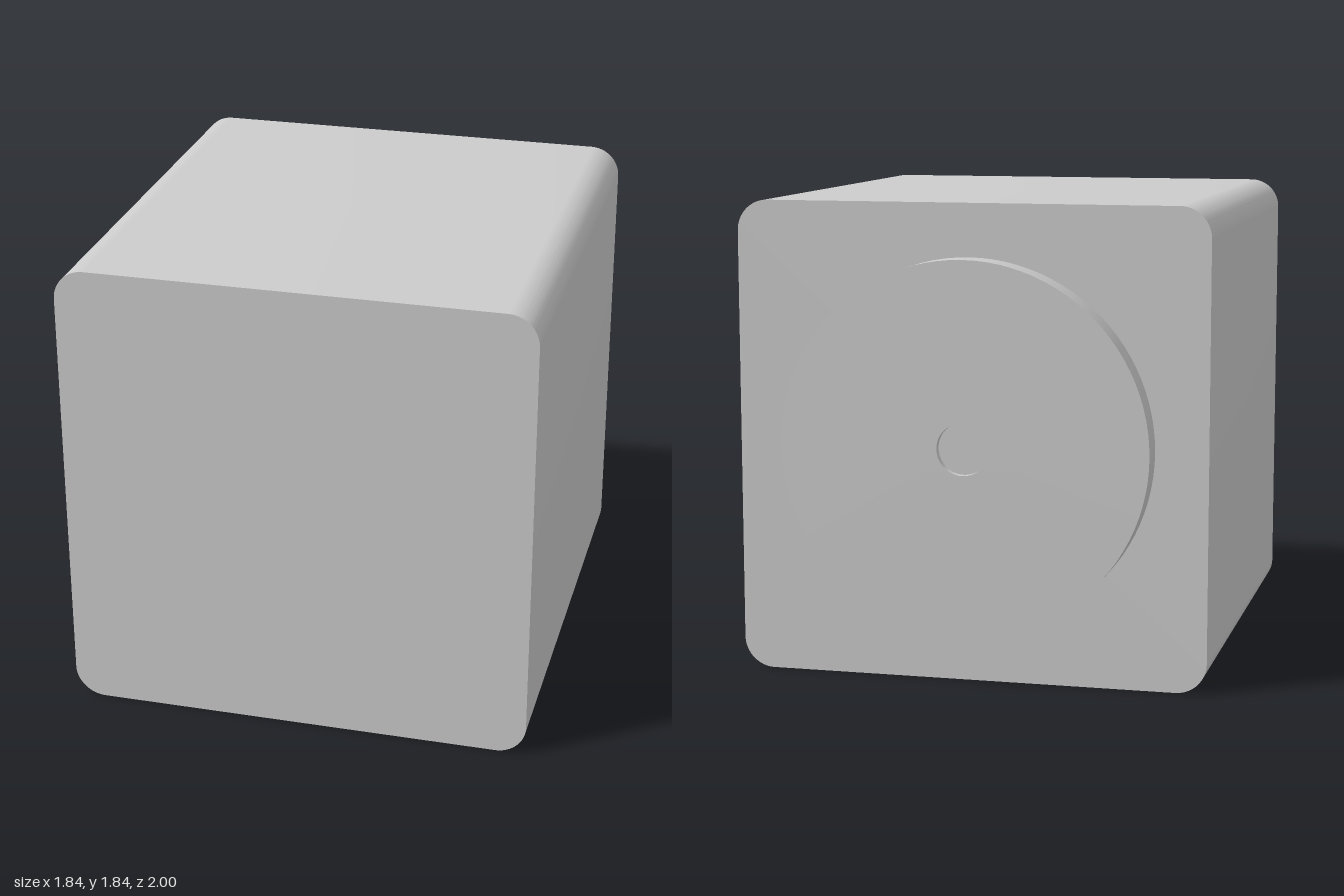
import * as THREE from 'three';
import { toCreasedNormals } from 'three/addons/utils/BufferGeometryUtils.js';

const HALF = 0.922;    // half width and half height of the body
const CORNER = 0.12;   // radius of the four long edges
const BACK = -0.885;   // z of the body's back face
const FRONT = 1;

const material = new THREE.MeshStandardMaterial({ color: 0xcccccc });

function part(name, geometry) {
  const mesh = new THREE.Mesh(toCreasedNormals(geometry, Math.PI / 6), material);
  mesh.name = name;
  return mesh;
}

// Square with four rounded corners, centred on the origin
function roundedSquare(half, r) {
  const shape = new THREE.Shape();
  const c = half - r;
  [[c, c], [-c, c], [-c, -c], [c, -c]].forEach(([x, y], i) => {
    shape.absarc(x, y, r, i * Math.PI / 2, (i + 1) * Math.PI / 2, false);
  });
  shape.closePath();
  return shape;
}

export function createModel() {
  const group = new THREE.Group();
  group.name = 'knob';

  // Block with rounded long edges and sharp front and back faces
  const block = new THREE.ExtrudeGeometry(roundedSquare(HALF, CORNER), {
    depth: FRONT - BACK, bevelEnabled: false, curveSegments: 16,
  });
  const body = part('body', block);
  body.position.set(0, HALF, BACK);
  group.add(body);

  // Round boss on the back, with a shallow pocket in its centre
  const thickness = BACK + 1, radius = 0.717, pocketRadius = 0.1, pocketDepth = 0.03;
  const profile = [
    [radius, 0],
    [radius, thickness],
    [pocketRadius, thickness],
    [pocketRadius, thickness - pocketDepth],
    [0, thickness - pocketDepth],
  ].map(([r, h]) => new THREE.Vector2(r, h));
  const disc = new THREE.LatheGeometry(profile, 96);
  disc.rotateX(-Math.PI / 2);
  const boss = part('backBoss', disc);
  boss.position.set(0, HALF, BACK);
  group.add(boss);

  return group;
}
